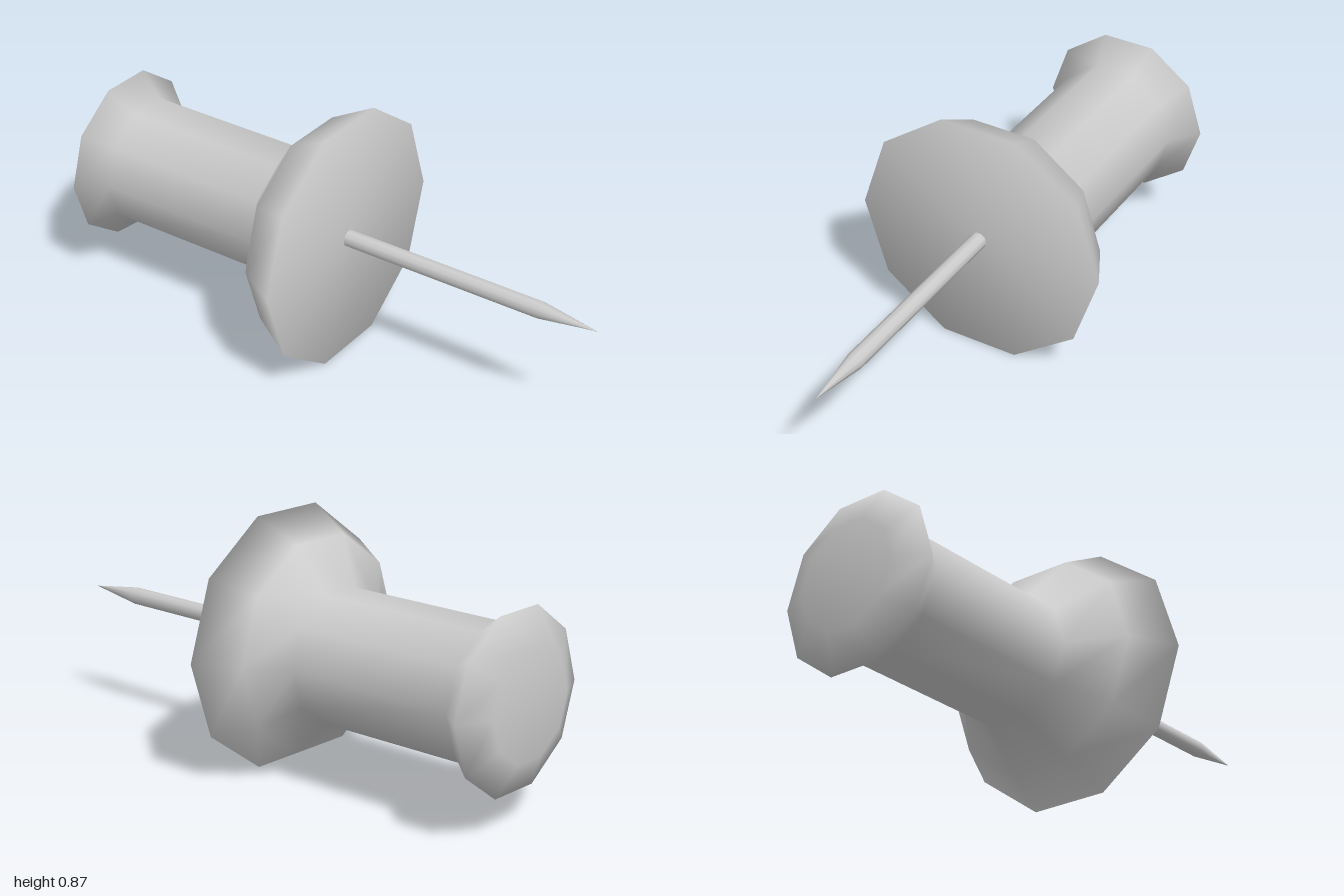
import * as THREE from 'three';

const SIDES = 10;
const AXIS_Y = 0.4385;

// Turns a profile of [x, radius, offsetY, offsetZ] rings around the x axis;
// each ring may sit slightly off the axis.
function turned(name, rings, material) {
  const points = rings.map(([x, r]) => new THREE.Vector2(r, x));
  const geometry = new THREE.LatheGeometry(points, SIDES);
  geometry.rotateZ(-Math.PI / 2);
  const pos = geometry.attributes.position;
  for (let i = 0; i < pos.count; i++) {
    const [, , dy = 0, dz = 0] = rings[i % rings.length];
    pos.setY(i, pos.getY(i) + dy);
    pos.setZ(i, pos.getZ(i) + dz);
  }
  const mesh = new THREE.Mesh(geometry, material);
  mesh.name = name;
  mesh.position.y = AXIS_Y;
  return mesh;
}

export function createModel() {
  const group = new THREE.Group();
  group.name = 'pushPin';
  const material = new THREE.MeshStandardMaterial({ color: 0xcccccc });

  // Grip: end cap, flared knob, straight barrel and wide flange
  group.add(turned('handle', [
    [-1, 0, -0.009, -0.035],
    [-1, 0.19, -0.009, -0.035],
    [-0.945, 0.308, -0.01, -0.035],
    [-0.85, 0.231, -0.01, -0.034],
    [-0.225, 0.231, -0.01, -0.034],
    [-0.11, 0.376, 0.003, -0.005],
    [0.045, 0.46],
    [0.045, 0.028], // short collar hidden inside the needle
    [0.06, 0.028],
  ], material));

  // Needle: thin shaft and tapered point
  group.add(turned('needle', [
    [0.03, 0.03, 0.002],
    [0.79, 0.03, 0.002],
    [1, 0, 0.002],
  ], material));

  return group;
}
